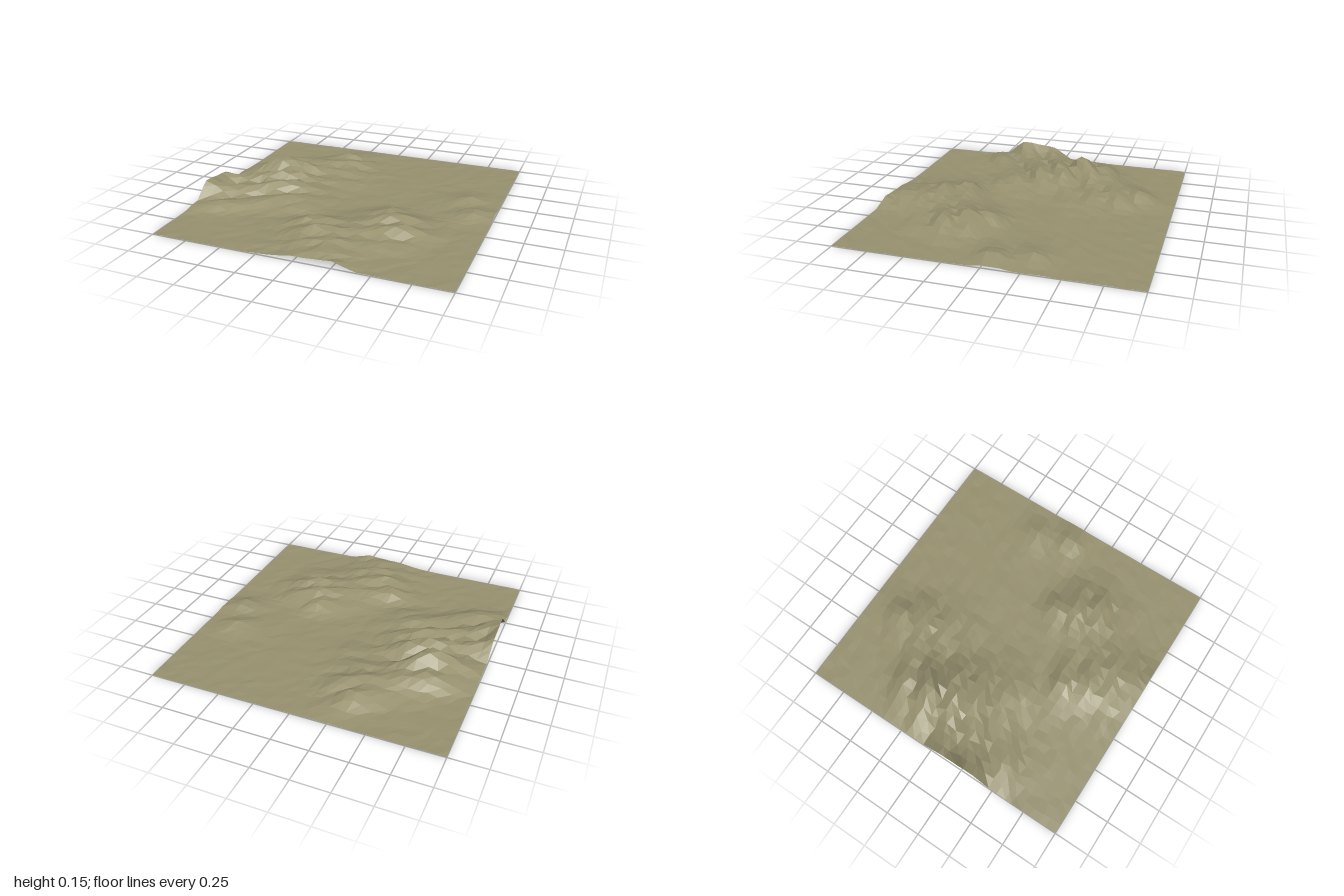
import * as THREE from 'three';

// Crest lines of the dunes, each a run of [x, z, height] points
const leftDunes = [
  [[-0.7, -0.5, 0.02], [-0.45, -0.62, 0.06], [-0.3, -0.74, 0.07], [-0.2, -0.85, 0.02]],
  [[-0.95, -0.25, 0.02], [-0.7, -0.4, 0.1], [-0.5, -0.48, 0.11], [-0.3, -0.56, 0.07], [-0.16, -0.63, 0.05], [-0.1, -0.66, 0.01]],
  [[-1, -0.1, 0.02], [-0.85, -0.17, 0.1], [-0.68, -0.22, 0.168], [-0.55, -0.33, 0.13], [-0.4, -0.38, 0.08], [-0.05, -0.45, 0.015]],
  [[-1, 0.1, 0.12], [-0.8, 0.02, 0.12], [-0.6, -0.06, 0.12], [-0.45, -0.14, 0.11], [-0.3, -0.2, 0.05], [0, -0.3, 0.01]],
  [[-1, 0.34, 0.13], [-0.88, 0.25, 0.1], [-0.7, 0.16, 0.11], [-0.5, 0.05, 0.1], [-0.35, 0, 0.07], [-0.2, -0.05, 0.02]],
  [[-1, 0.1, 0.12], [-1, 0.22, 0.12], [-1, 0.34, 0.13]],
  [[-1, 0.52, 0.025], [-0.8, 0.47, 0.055], [-0.6, 0.34, 0.06], [-0.4, 0.22, 0.06], [-0.2, 0.12, 0.03]],
  [[-0.45, 0.36, 0.02], [-0.3, 0.3, 0.04], [-0.15, 0.22, 0.01]],
];
const frontDunes = [
  [[-0.1, 0.4, 0.015], [0.15, 0.31, 0.04], [0.35, 0.19, 0.065], [0.48, 0.13, 0.01]],
  [[-0.27, 0.58, 0.02], [-0.1, 0.52, 0.08], [0.15, 0.45, 0.075], [0.42, 0.3, 0.09], [0.55, 0.26, 0.06], [0.65, 0.22, 0.01]],
  [[-0.25, 0.75, 0.015], [0, 0.65, 0.095], [0.12, 0.62, 0.09], [0.3, 0.52, 0.075], [0.5, 0.44, 0.08], [0.68, 0.38, 0.03]],
  [[-0.2, 0.88, 0.02], [0, 0.82, 0.06], [0.2, 0.74, 0.08], [0.4, 0.65, 0.04], [0.58, 0.58, 0.02]],
  [[-0.2, 1.03, 0.015], [0, 0.97, 0.045], [0.15, 0.9, 0.065], [0.28, 0.84, 0.05], [0.38, 0.75, 0.01]],
  [[0.05, 1.05, 0.03], [0.25, 1, 0.05], [0.38, 0.95, 0.01]],
];
const rightDunes = [
  [[0.6, -0.18, 0.01], [0.8, -0.27, 0.04], [0.9, -0.35, 0.01]],
  [[0.72, 0.05, 0.01], [0.86, -0.02, 0.05], [1, -0.08, 0.015]],
];
const crests = [...leftDunes, ...frontDunes, ...rightDunes];

const smooth = (t) => t * t * (3 - 2 * t);

// Gentle slope behind a crest, steeper slip face in front of it
function duneHeight(crest, x, z) {
  let best = 0;
  for (let i = 0; i + 1 < crest.length; i++) {
    const [ax, az, ah] = crest[i];
    const [bx, bz, bh] = crest[i + 1];
    const dx = bx - ax, dz = bz - az;
    const t = THREE.MathUtils.clamp(((x - ax) * dx + (z - az) * dz) / (dx * dx + dz * dz), 0, 1);
    const px = x - ax - dx * t, pz = z - az - dz * t;
    const width = 0.38 * px + 0.92 * pz > 0 ? 0.15 : 0.2;
    const fall = Math.max(0, 1 - Math.hypot(px, pz) / width);
    best = Math.max(best, (ah + (bh - ah) * t) * smooth(fall));
  }
  return best;
}

// Parallel swells crossing the crests, which split each dune into humps
const swell = (x, z) => 0.83 + 0.17 * Math.cos(2 * Math.PI * (1.39 * x - 0.97 * z - 0.3));

function seeded(seed) {
  return () => {
    seed = (seed * 16807) % 2147483647;
    return seed / 2147483647;
  };
}

// Square sheet with jittered inner vertices, raised by the dune field
function terrainGeometry(segments) {
  const random = seeded(71);
  const geometry = new THREE.PlaneGeometry(2, 2, segments, segments).rotateX(-Math.PI / 2);
  const pos = geometry.attributes.position;
  const jitter = 0.9 / segments;
  for (let i = 0; i < pos.count; i++) {
    let x = pos.getX(i), z = pos.getZ(i);
    if (Math.abs(x) < 0.999) x += (random() - 0.5) * jitter;
    if (Math.abs(z) < 0.999) z += (random() - 0.5) * jitter;
    let y = 0;
    for (const crest of crests) y = Math.max(y, duneHeight(crest, x, z));
    pos.setXYZ(i, x, y * swell(x, z) + random() * 0.005, z);
  }
  geometry.computeVertexNormals();
  geometry.computeBoundingBox();
  return geometry.translate(0, -geometry.boundingBox.min.y, 0);
}

export function createModel() {
  const group = new THREE.Group();
  group.name = 'duneLandscape';
  const sand = new THREE.MeshStandardMaterial({ color: 0x989270, flatShading: true, side: THREE.DoubleSide });
  const terrain = new THREE.Mesh(terrainGeometry(30), sand);
  terrain.name = 'terrain';
  group.add(terrain);
  return group;
}
